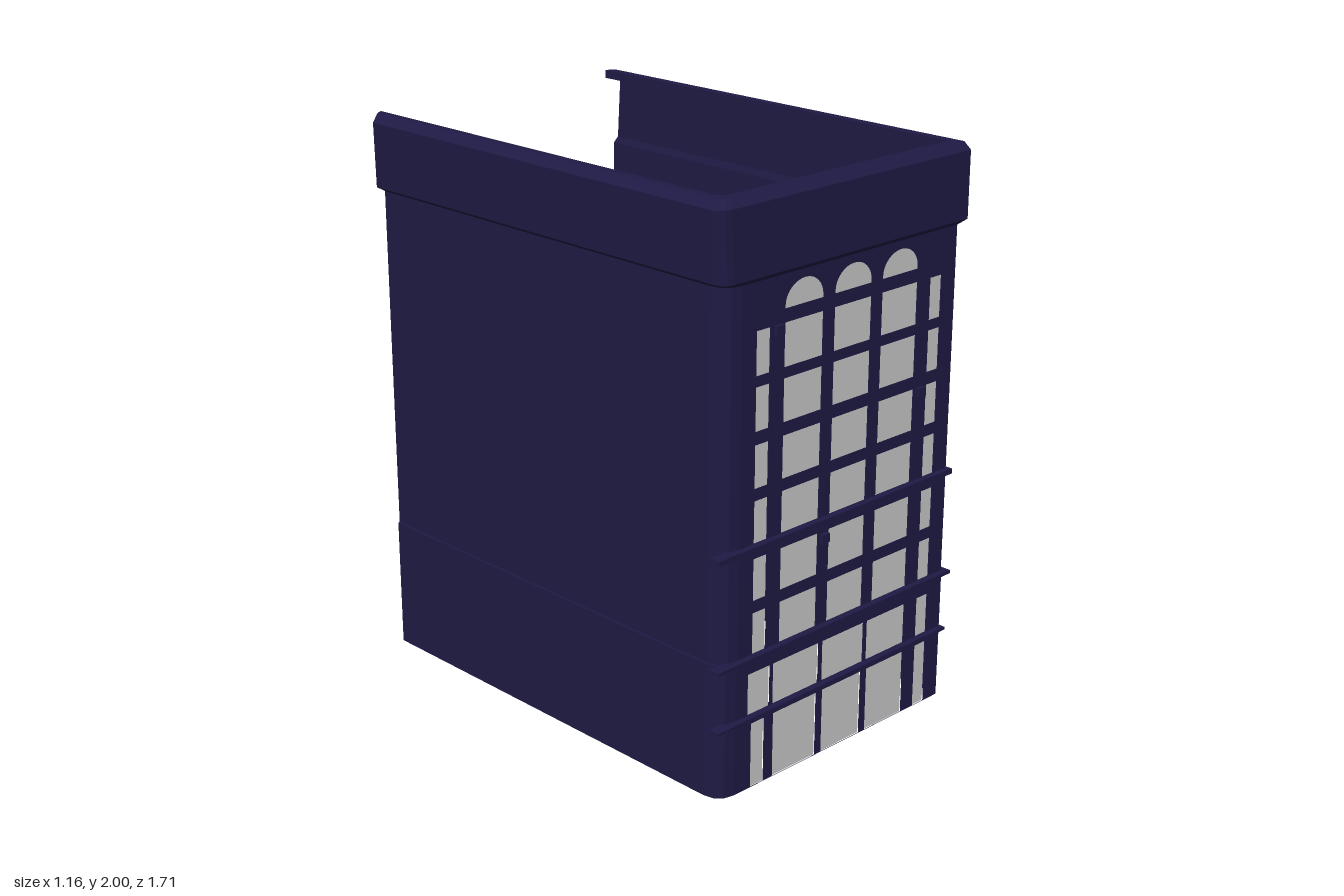
import * as THREE from 'three';

const navy = new THREE.MeshStandardMaterial({ color: 0x1e1a44, side: THREE.DoubleSide, flatShading: true });
const glass = new THREE.MeshStandardMaterial({ color: 0xcccccc, side: THREE.DoubleSide });

// Horizontal section: y, left x, right x, front z, back z, corner size
const sections = [
  [0, -0.535, 0.56, 0.82, -0.835, 0.07],
  [0.475, -0.535, 0.56, 0.82, -0.835, 0.07],
  [0.475, -0.525, 0.557, 0.82, -0.84, 0.07],
  [1.72, -0.525, 0.557, 0.82, -0.84, 0.07],
  [1.745, -0.57, 0.565, 0.855, -0.825, 0.045],
  [1.975, -0.585, 0.565, 0.855, -0.81, 0.045],
  [2, -0.55, 0.56, 0.83, -0.83, 0.045],
  [2, -0.52, 0.527, 0.79, -0.85, 0.035],
  [1.97, -0.52, 0.527, 0.79, -0.85, 0.035],
];

// U-shaped plan: right wall, front, eased left corner, left wall
function plan([y, l, r, f, b, c]) {
  return [[r, b], [r, f], [l + c, f], [l + c * 0.45, f - c * 0.12],
    [l + c * 0.12, f - c * 0.45], [l, f - c], [l, b]].map(([x, z]) => [x, y, z]);
}

// Skin between consecutive sections, leaving out the front where a window panel goes
function loft(from, to, openFront) {
  const pos = [];
  for (let i = from; i < to; i++) {
    const low = plan(sections[i]), high = plan(sections[i + 1]);
    for (let j = 0; j < low.length - 1; j++) {
      if (openFront && j === 1) continue;
      const a = low[j], b = low[j + 1], c = high[j + 1], d = high[j];
      pos.push(...b, ...a, ...d, ...b, ...d, ...c);
    }
  }
  const geo = new THREE.BufferGeometry();
  geo.setAttribute('position', new THREE.Float32BufferAttribute(pos, 3));
  geo.computeVertexNormals();
  return geo;
}

// Window outline; rise is the height of an arched head
function opening(Type, [x0, x1, y0, y1, rise = 0]) {
  const s = new Type();
  s.moveTo(x0, y0);
  s.lineTo(x1, y0);
  s.lineTo(x1, y1 - rise);
  if (rise) s.absellipse((x0 + x1) / 2, y1 - rise, (x1 - x0) / 2, rise, 0, Math.PI, false);
  else s.lineTo(x0, y1);
  s.closePath();
  return s;
}

export function createModel() {
  const model = new THREE.Group();
  const add = (geo, mat, name, x = 0, y = 0, z = 0) => {
    const mesh = new THREE.Mesh(geo, mat);
    mesh.name = name;
    mesh.position.set(x, y, z);
    model.add(mesh);
  };

  // Shell
  add(loft(0, 1, true), navy, 'baseWalls');
  add(loft(1, 2, false), navy, 'baseStep');
  add(loft(2, 3, true), navy, 'upperWalls');
  add(loft(3, 4, false), navy, 'corniceSoffit');
  add(loft(4, 5, true), navy, 'corniceWalls');
  add(loft(5, 8, false), navy, 'roofEdge');

  // Front panel over one band of sections, with its panes
  function facade(i, windows, name) {
    const [y0, l0, r0, z, , c0] = sections[i];
    const [y1, l1, r1, , , c1] = sections[i + 1];
    const panel = new THREE.Shape([[l0 + c0, y0], [r0, y0], [r1, y1], [l1 + c1, y1]]
      .map(([x, y]) => new THREE.Vector2(x, y)));
    panel.holes = windows.map(w => opening(THREE.Path, w));
    add(new THREE.ShapeGeometry(panel, 8), navy, name + 'Facade', 0, 0, z);
    add(new THREE.ShapeGeometry(windows.map(w => opening(THREE.Shape, w)), 8), glass, name + 'Windows', 0, 0, z - 0.003);
  }

  const bays = [[-0.265, -0.09], [-0.037, 0.138], [0.19, 0.365]];
  const sides = [[-0.39, -0.33], [0.43, 0.487]];

  // Shop front and mezzanine
  const ground = [...sides, [-0.286, -0.08], [-0.048, 0.143], [0.175, 0.365]];
  const mezzanine = [[-0.407, -0.307], [-0.29, -0.074], [-0.053, 0.153], [0.17, 0.365], sides[1]];
  facade(0, [
    ...ground.map(x => [...x, 0.002, 0.233]),
    ...mezzanine.map(x => [...x, 0.267, 0.414]),
  ], 'base');

  // Six office floors under an arched row
  const floors = [0.479, 0.666, 0.862, 1.048, 1.237, 1.418];
  facade(2, [
    ...floors.flatMap(y => [...bays, ...sides].map(x => [...x, y, y + 0.146])),
    ...bays.map(x => [...x, 1.608, 1.692, 0.075]),
  ], 'upper');

  // Attic windows with round heads
  const attic = [-0.36, -0.225, -0.127, 0, 0.1, 0.231, 0.327, 0.46];
  facade(4, attic.map(x => [x - 0.037, x + 0.037, 1.752, 1.932, 0.037]), 'attic');

  // String courses across the front
  for (const [y, h, right] of [[0.263, 0.01, 0.565], [0.475, 0.012, 0.58], [0.855, 0.018, 0.565]]) {
    add(new THREE.BoxGeometry(right + 0.565, h, 0.04), navy, 'stringCourse', (right - 0.565) / 2, y, 0.822);
  }

  // Small blocks on the piers
  for (const [x, y] of [[-0.065, 0.79], [0.395, 1.18], [-0.298, 1.55]]) {
    add(new THREE.BoxGeometry(0.035, 0.03, 0.02), navy, 'pierBlock', x, y, 0.826);
  }
  return model;
}
